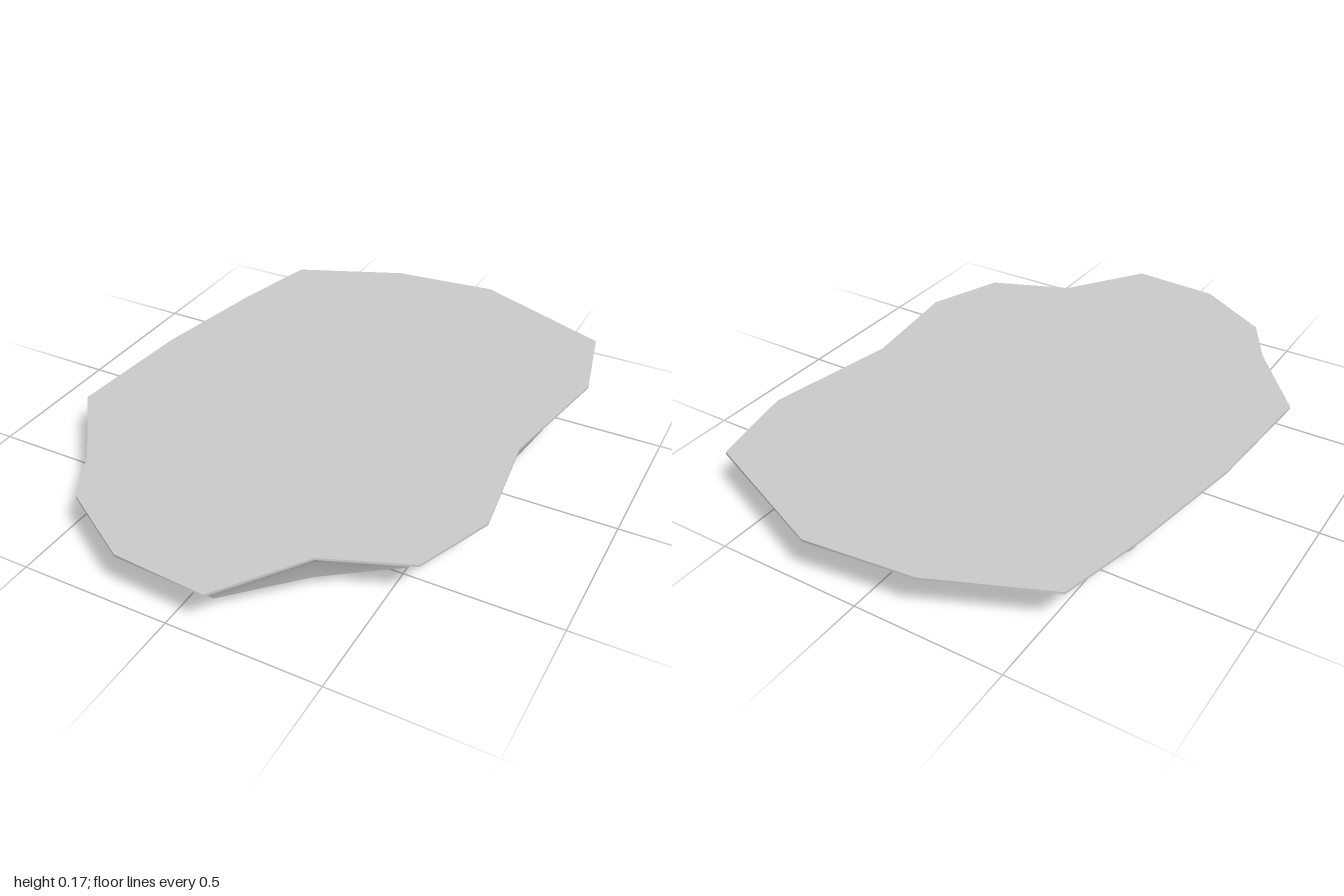
import * as THREE from 'three';

// Rim outline and foot outline, matched point by point, as [x, z]
const RIM = [[0.17, -1], [0.66, -0.8], [0.73, -0.49], [0.65, -0.03], [0.7, 0.36], [0.6, 0.62],
  [0.33, 0.73], [0.14, 1], [-0.17, 0.98], [-0.43, 0.82], [-0.53, 0.64], [-0.74, 0.37],
  [-0.71, -0.08], [-0.64, -0.5], [-0.57, -0.8], [-0.2, -0.96]];
// Foot outline as [x, z, y]
const FOOT = [[0.18, -0.87, 0.05], [0.48, -0.7, 0.05], [0.64, -0.42, 0.045], [0.6, -0.1, 0.04],
  [0.63, 0.23, 0.04], [0.52, 0.51, 0.04], [0.3, 0.68, 0.045], [0.1, 0.9, 0.055],
  [-0.17, 0.89, 0.055], [-0.42, 0.78, 0.05], [-0.55, 0.6, 0.05], [-0.66, 0.3, 0.09],
  [-0.6, -0.05, 0.035], [-0.57, -0.42, 0.04], [-0.43, -0.7, 0.05], [-0.12, -0.86, 0.05]];
const N = RIM.length;
const TOP = 0.168;

// Skin a stack of closed rings, each a list of [x, y, z]
function loft(name, rings, material) {
  const index = [];
  for (let r = 0; r < rings.length - 1; r++) {
    for (let i = 0; i < N; i++) {
      const j = (i + 1) % N;
      const a = r * N + i, a1 = r * N + j;
      index.push(a, a1, a1 + N, a, a1 + N, a + N);
    }
  }
  const geometry = new THREE.BufferGeometry();
  geometry.setAttribute('position', new THREE.Float32BufferAttribute(rings.flat(2), 3));
  geometry.setIndex(index);
  geometry.computeVertexNormals();
  const mesh = new THREE.Mesh(geometry, material);
  mesh.name = name;
  return mesh;
}

// Ring part way from the rim (t = 0) to the foot (t = 1); drop sets its height
const between = (t, drop) => RIM.map(([x, z], i) => {
  const [fx, fz, fy] = FOOT[i];
  return [x + (fx - x) * t, 0.16 + (fy - 0.16) * drop, z + (fz - z) * t];
});

// Ring shrunk inside the foot, with a gentle ripple in height
const under = (s, y, ripple) => FOOT.map(([x, z], i) =>
  [x * s, y + ripple * Math.cos(i * Math.PI * 0.75), z * s]);

export function createModel() {
  const material = new THREE.MeshStandardMaterial({ color: 0xcccccc, side: THREE.DoubleSide });
  const model = new THREE.Group();
  model.name = 'slab';

  const rimAt = (y) => RIM.map(([x, z]) => [x, y, z]);
  const centre = (y) => RIM.map(() => [0, y, 0]);
  const foot = between(1, 1);

  // Flat top surface
  model.add(loft('topSurface', [centre(TOP), rimAt(TOP)], material));
  // Thin edge band
  model.add(loft('rimEdge', [rimAt(TOP), rimAt(0.16)], material));
  // Curved side tucking in below the rim
  model.add(loft('sideWall', [rimAt(0.16), between(0.45, 0.13), between(0.78, 0.42), foot], material));
  // Slightly uneven underside
  model.add(loft('underside', [foot, under(0.76, 0.012, 0.012), under(0.4, 0.022, 0.006), centre(0.005)], material));

  return model;
}
